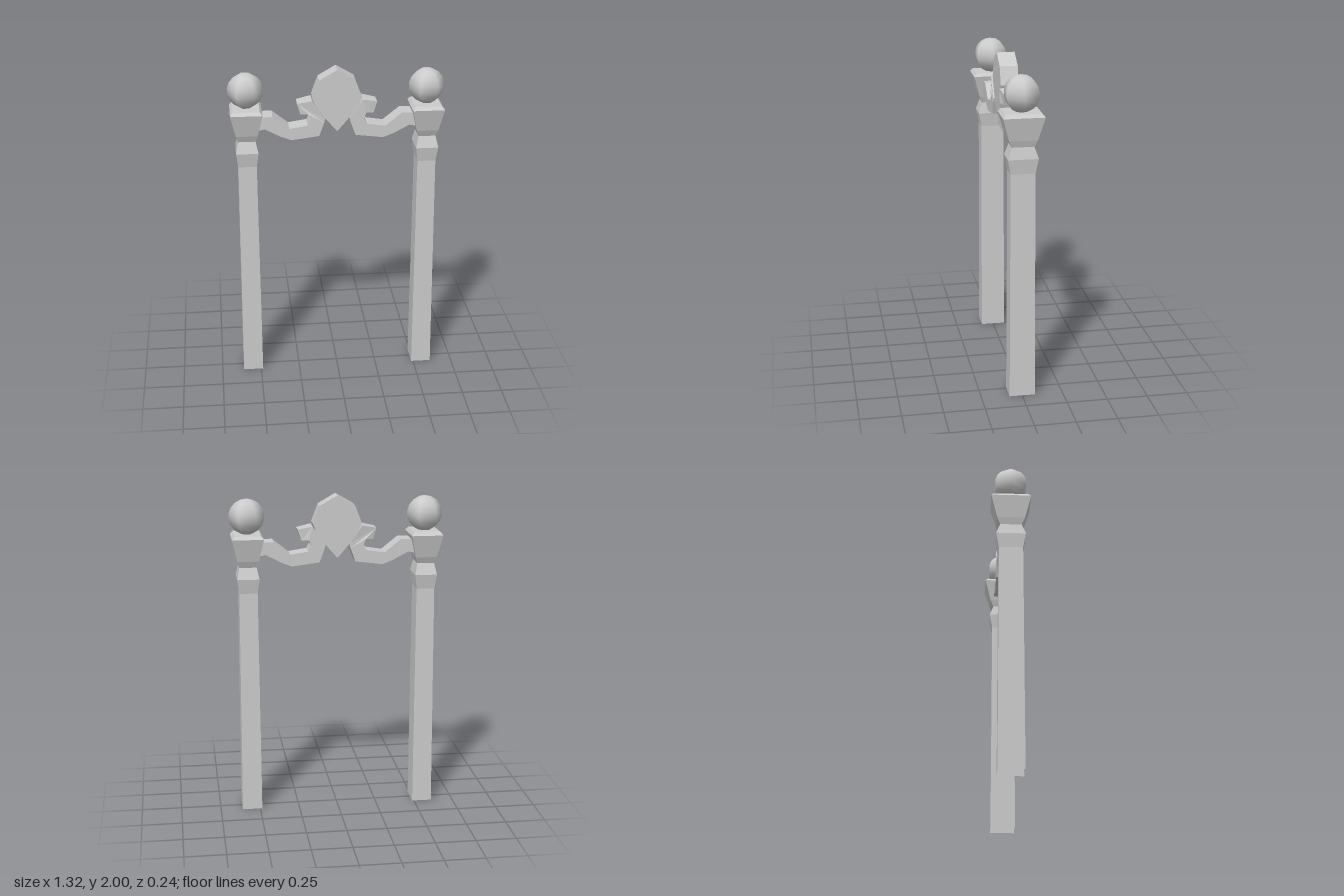
import * as THREE from 'three';

const material = new THREE.MeshStandardMaterial({ color: 0xcccccc });
const openMaterial = new THREE.MeshStandardMaterial({ color: 0xcccccc, side: THREE.DoubleSide, flatShading: true });

function addMesh(parent, name, geometry, mat = material) {
  const mesh = new THREE.Mesh(geometry, mat);
  mesh.name = name;
  parent.add(mesh);
  return mesh;
}

// Rectangular loft through rings of [y, half width, half depth], open at the bottom
function squareLoft(rings, capped) {
  const corners = [[-1, 1], [1, 1], [1, -1], [-1, -1]];
  const positions = [], index = [];
  for (const [y, hx, hz] of rings) for (const [sx, sz] of corners) positions.push(sx * hx, y, sz * hz);
  for (let r = 0; r < rings.length - 1; r++) {
    for (let i = 0; i < 4; i++) {
      const a = r * 4 + i, b = r * 4 + (i + 1) % 4;
      index.push(a, b, b + 4, a, b + 4, a + 4);
    }
  }
  if (capped) {
    const t = (rings.length - 1) * 4;
    index.push(t, t + 1, t + 2, t, t + 2, t + 3);
  }
  const indexed = new THREE.BufferGeometry();
  indexed.setAttribute('position', new THREE.Float32BufferAttribute(positions, 3));
  indexed.setIndex(index);
  const geometry = indexed.toNonIndexed();
  geometry.computeVertexNormals();
  return geometry;
}

// Flat outline extruded evenly about z = 0
function slab(points, depth) {
  const shape = new THREE.Shape(points.map(([x, y]) => new THREE.Vector2(x, y)));
  const geometry = new THREE.ExtrudeGeometry(shape, { depth, bevelEnabled: false });
  geometry.translate(0, 0, -depth / 2);
  return geometry;
}

function createPost(side) {
  const post = new THREE.Group();
  post.name = side > 0 ? 'leftPost' : 'rightPost';
  post.position.x = side * 0.55;
  addMesh(post, 'shaft', squareLoft([
    [0, 0.062, 0.078], [1.41, 0.056, 0.073], [1.5, 0.068, 0.09], [1.57, 0.053, 0.066],
  ], false), openMaterial);
  addMesh(post, 'capital', squareLoft([
    [1.57, 0.053, 0.066], [1.61, 0.066, 0.084], [1.75, 0.097, 0.122], [1.77, 0.081, 0.106],
  ], true), openMaterial);
  const ball = addMesh(post, 'ballFinial', new THREE.SphereGeometry(0.11, 6, 9));
  ball.position.y = 1.873;
  return post;
}

// Curled bracket, its outline mirrored for the other side
function createScroll(side) {
  const outline = [
    [0.153, 1.813], [0.075, 1.7], [0.08, 1.675], [0.111, 1.591], [0.28, 1.57], [0.345, 1.595],
    [0.44, 1.645], [0.49, 1.635], [0.49, 1.72], [0.392, 1.723], [0.292, 1.643], [0.18, 1.66],
    [0.163, 1.695], [0.175, 1.73], [0.222, 1.727], [0.243, 1.795],
  ];
  const geometry = slab(outline.map(([x, y]) => [side * x, y]), 0.124);
  // The curl tip narrows in depth
  const p = geometry.attributes.position;
  for (let i = 0; i < p.count; i++) {
    if (p.getY(i) > 1.724 && Math.abs(p.getX(i)) > 0.2 && Math.abs(p.getX(i)) < 0.3) p.setZ(i, p.getZ(i) * 0.78);
  }
  geometry.computeVertexNormals();
  return addMesh(new THREE.Group(), side > 0 ? 'leftScroll' : 'rightScroll', geometry);
}

export function createModel() {
  const model = new THREE.Group();
  model.name = 'gateway';
  for (const side of [-1, 1]) model.add(createPost(side), createScroll(side));

  // Pointed shield at the centre of the lintel
  const half = [[0, 1.615], [0.1, 1.73], [0.125, 1.765], [0.15, 1.828], [0.109, 1.937], [0, 2]];
  const mirrored = half.slice(1, -1).reverse().map(([x, y]) => [-x, y]);
  const shield = addMesh(model, 'centreShield', slab([...half, ...mirrored], 0.11));
  shield.position.z = -0.003;
  return model;
}
